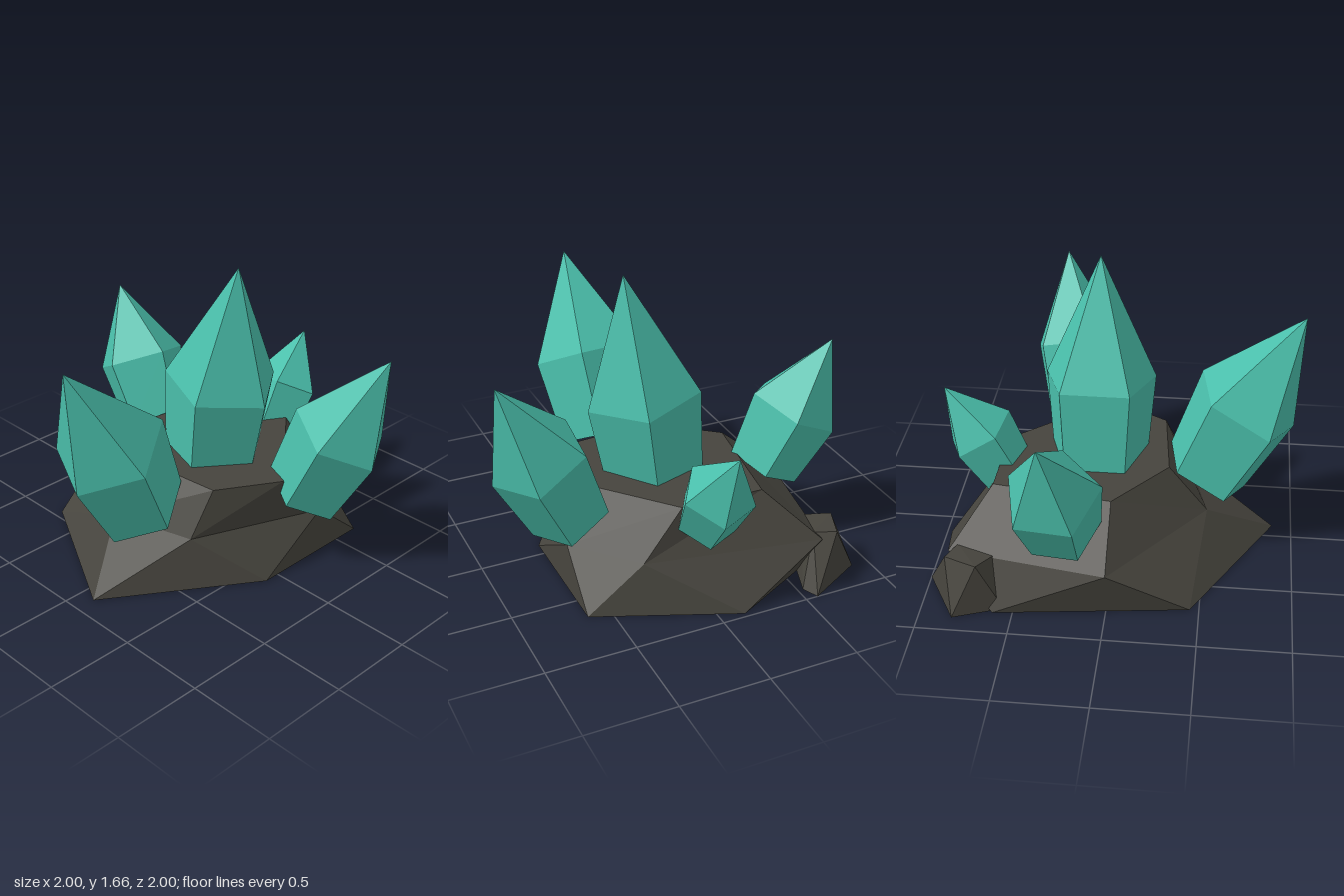
import * as THREE from 'three';
import { ConvexGeometry } from 'three/addons/geometries/ConvexGeometry.js';

const V = (p) => new THREE.Vector3(...p);

// Non-indexed geometry from a list of triangles, so every facet stays flat
function facets(tris) {
  const g = new THREE.BufferGeometry().setFromPoints(tris.flat());
  g.computeVertexNormals();
  return g;
}

// Flat cap over a ring; up = true faces along the ring's axis
function cap(ring, up) {
  const tris = [];
  for (let i = 1; i < ring.length - 1; i++) {
    tris.push(up ? [ring[0], ring[i], ring[i + 1]] : [ring[0], ring[i + 1], ring[i]]);
  }
  return tris;
}

// Five-sided crystal: small base ring, wide shoulder ring, pointed tip.
// corner is the direction of one shoulder corner from the shoulder centre.
function crystalGeometry({ tip, shoulder, base, corner, r, rBase }) {
  const apex = V(tip), mid = V(shoulder), n = 5;
  const axis = apex.clone().sub(mid).normalize();
  const u = V(corner).projectOnPlane(axis).normalize();
  const v = axis.clone().cross(u);
  const ring = (centre, radius) => Array.from({ length: n }, (_, i) => {
    const a = (i / n) * Math.PI * 2;
    return centre.clone()
      .addScaledVector(u, radius * Math.cos(a))
      .addScaledVector(v, radius * Math.sin(a));
  });
  const low = ring(V(base), rBase), high = ring(mid, r);
  const tris = cap(low, false);
  for (let i = 0; i < n; i++) {
    const j = (i + 1) % n;
    tris.push([low[i], low[j], high[j]], [low[i], high[j], high[i]], [high[i], high[j], apex]);
  }
  return facets(tris);
}

// Flat-topped boulder from three staggered rings of six corners
function boulderGeometry() {
  const ring = (y, pts) => pts.map(([x, z]) => new THREE.Vector3(x, y, z));
  const b = ring(0, [[-0.71, 0.45], [0.1, 0.89], [0.63, 0.09], [0.63, -0.66], [-0.14, -0.975], [-0.84, -0.61]]);
  const m = ring(0.265, [[-0.145, 0.51], [0.33, 0.38], [0.62, -0.35], [0.32, -0.69], [-0.66, -0.87], [-0.81, 0]]);
  const t = ring(0.53, [[-0.13, 0.29], [0.36, 0.24], [0.56, -0.1], [0.08, -0.65], [-0.39, -0.66], [-0.49, 0]]);
  const tris = [...cap(b, false), ...cap(t, true)];
  for (let i = 0; i < 6; i++) {
    const j = (i + 1) % 6;
    tris.push([b[i], b[j], m[i]], [m[i], b[j], m[j]]);
    if (i === 5) tris.push([m[i], m[j], t[i]], [m[j], t[j], t[i]]);
    else tris.push([m[i], m[j], t[j]], [m[i], t[j], t[i]]);
  }
  return facets(tris);
}

export function createModel() {
  const rock = new THREE.MeshStandardMaterial({ color: 0x46443d });
  rock.name = 'dark rock';
  const teal = new THREE.MeshStandardMaterial({ color: 0x4abfab });
  teal.name = 'teal crystal';

  const model = new THREE.Group();
  model.name = 'crystalCluster';
  const add = (name, geometry, material) => {
    const mesh = new THREE.Mesh(geometry, material);
    mesh.name = name;
    model.add(mesh);
  };

  // Rocks
  add('boulder', boulderGeometry(), rock);
  add('smallRock', new ConvexGeometry([
    [-0.9, 0, -0.82], [-0.57, 0, -1], [-0.53, 0, -0.91], [-0.64, 0, -0.6], [-0.8, 0, -0.55],
    [-0.82, 0.29, -0.69], [-0.75, 0.29, -0.87], [-0.63, 0.29, -0.82], [-0.68, 0.27, -0.61],
  ].map(V)), rock);

  // Crystals leaning outward around an almost upright one
  const crystals = {
    centreCrystal: {
      tip: [0.18, 1.665, -0.12], shoulder: [0.07, 0.96, -0.12], base: [0, 0.42, -0.12],
      corner: [1, 0, 0], r: 0.325, rBase: 0.28,
    },
    frontCrystal: {
      tip: [0.08, 1.395, 1], shoulder: [0.055, 0.85, 0.7], base: [0.04, 0.41, 0.49],
      corner: [0.055, -0.135, 0.29], r: 0.315, rBase: 0.26,
    },
    leftCrystal: {
      tip: [0.995, 1.305, -0.41], shoulder: [0.755, 0.815, -0.333], base: [0.57, 0.41, -0.28],
      corner: [0.245, -0.115, 0.03], r: 0.275, rBase: 0.23,
    },
    rightCrystal: {
      tip: [-1, 1.16, -0.31], shoulder: [-0.786, 0.758, -0.273], base: [-0.62, 0.43, -0.25],
      corner: [0.236, 0.107, 0.03], r: 0.265, rBase: 0.215,
    },
    backCrystal: {
      tip: [-0.08, 0.945, -0.97], shoulder: [-0.06, 0.652, -0.79], base: [-0.06, 0.41, -0.65],
      corner: [0.05, -0.1, -0.18], r: 0.205, rBase: 0.17,
    },
  };
  for (const [name, spec] of Object.entries(crystals)) add(name, crystalGeometry(spec), teal);

  return model;
}
